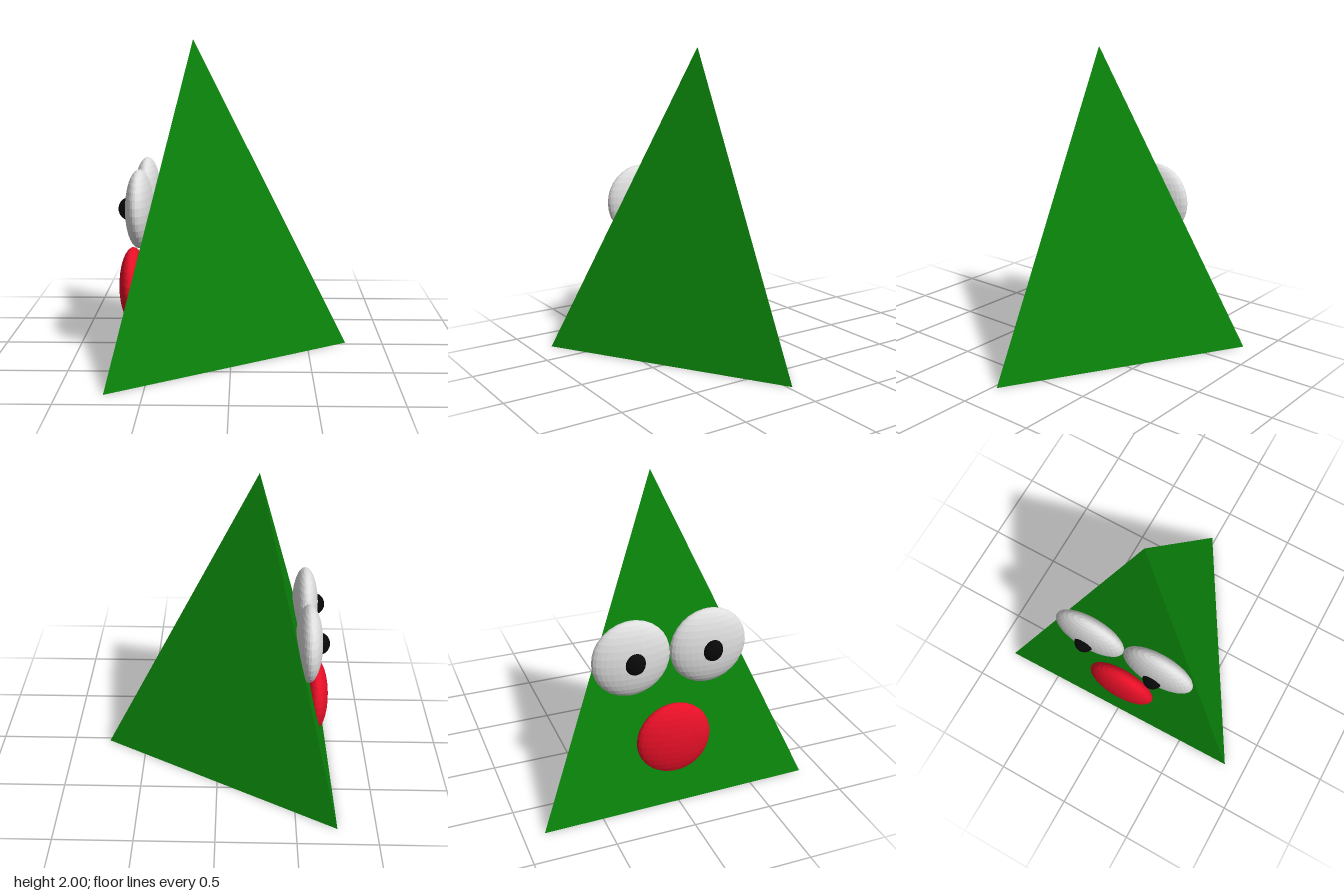
import * as THREE from 'three';

export function createModel() {
  const model = new THREE.Group();
  const paint = (name, color) => {
    const m = new THREE.MeshStandardMaterial({ color, flatShading: true });
    m.name = name;
    return m;
  };
  const green = paint('green', 0x0a830a);
  const white = paint('eye white', 0xdedede);
  const black = paint('pupil black', 0x080808);
  const red = paint('mouth red', 0xea1028);

  // Three-sided pyramid body, turned so one face looks toward -x
  const body = new THREE.Mesh(new THREE.ConeGeometry(1, 2, 3), green);
  body.name = 'body';
  body.rotation.y = THREE.MathUtils.degToRad(90.9);
  body.position.set(-0.243, 1, -0.011);
  model.add(body);

  // Flattened ball used for every facial feature
  const ball = new THREE.SphereGeometry(1, 32, 16);
  const addBall = (name, material, position, radii) => {
    const mesh = new THREE.Mesh(ball, material);
    mesh.name = name;
    mesh.position.set(...position);
    mesh.scale.set(...radii);
    model.add(mesh);
  };

  // Eyes with pupils, one on each side of the face
  for (const [side, z] of [['back', -0.252], ['front', 0.243]]) {
    addBall(side + 'Eye', white, [-0.57, 0.967, z], [0.085, 0.245, 0.246]);
    addBall(side + 'Pupil', black, [-0.63, 0.967, z], [0.07, 0.073, 0.066]);
  }

  // Mouth
  addBall('mouth', red, [-0.65, 0.405, -0.004], [0.086, 0.245, 0.24]);

  return model;
}
